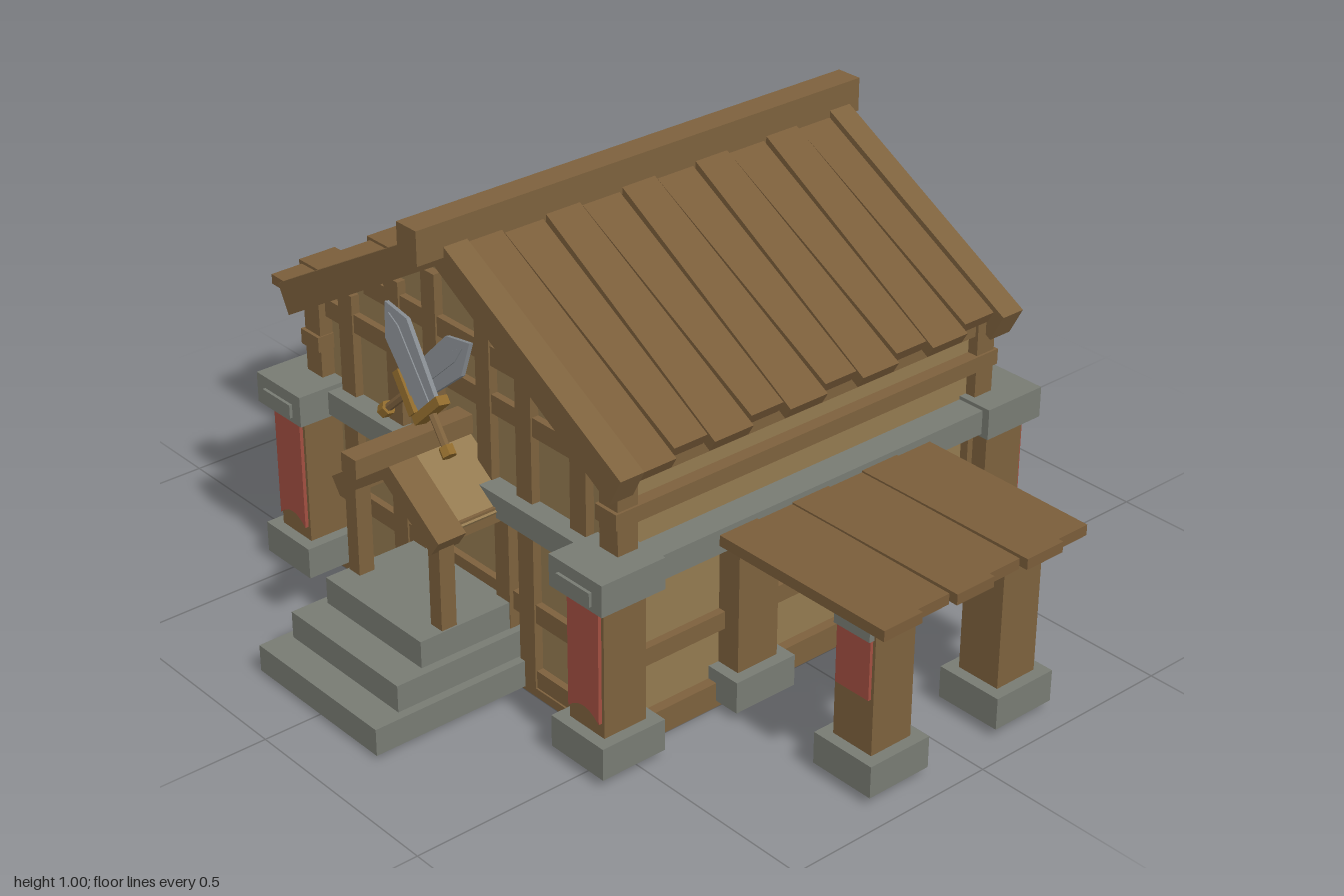
import * as THREE from 'three';

const mat = (color) => new THREE.MeshStandardMaterial({ color, flatShading: true });
const WOOD = mat(0x7d613d), PLANK = mat(0x7a5d3a), WALL = mat(0x937a50), STONE = mat(0x787b73);
const RED = mat(0xa24f41), STEEL = mat(0x858a8f), GOLD = mat(0x8f6a2c);

// Adds a mesh to a parent under a plain name
function add(parent, name, geo, material) {
  const m = new THREE.Mesh(geo, material);
  m.name = name;
  parent.add(m);
  return m;
}

// Box given by its limits on each axis
function box(parent, name, material, x0, x1, y0, y1, z0, z1) {
  const m = add(parent, name, new THREE.BoxGeometry(Math.abs(x1 - x0), y1 - y0, z1 - z0), material);
  m.position.set((x0 + x1) / 2, (y0 + y1) / 2, (z0 + z1) / 2);
  return m;
}

// Flat outline in x-y, given thickness from z0 to z1
function slab(parent, name, material, pts, z0, z1) {
  const shape = new THREE.Shape(pts.map(([x, y]) => new THREE.Vector2(x, y)));
  const m = add(parent, name, new THREE.ExtrudeGeometry(shape, { depth: z1 - z0, bevelEnabled: false }), material);
  m.position.z = z0;
  return m;
}

// Inverted V: outer apex, outer end, inner end, inner apex
function chevron(parent, name, material, top, [ox, oy], [ix, iy], low, z0, z1) {
  return slab(parent, name, material,
    [[0, top], [-ox, oy], [-ix, iy], [0, low], [ix, iy], [ox, oy]], z0, z1);
}

// Board along +x from 0 to length, with a different width at each end
function board(length, thick, wIn, wOut) {
  const g = new THREE.BoxGeometry(length, thick, 1).translate(length / 2, 0, 0);
  const p = g.attributes.position;
  for (let i = 0; i < p.count; i++) p.setZ(i, p.getZ(i) * (p.getX(i) > length / 2 ? wOut : wIn));
  g.computeVertexNormals();
  return g;
}

// Banner with an arched lower edge
function banner(parent, x, half, y0, y1, z, arch) {
  const s = new THREE.Shape();
  s.moveTo(x - half, y1);
  s.lineTo(x - half, y0);
  s.quadraticCurveTo(x, y0 + arch * 2, x + half, y0);
  s.lineTo(x + half, y1);
  const m = add(parent, 'banner', new THREE.ExtrudeGeometry(s, { depth: 0.008, bevelEnabled: false, curveSegments: 6 }), RED);
  m.position.z = z;
  box(parent, 'bannerRail', STONE, x - half - 0.003, x + half + 0.003, y1 - 0.003, y1 + 0.028, z - 0.004, z + 0.014);
}

// Wooden pillar on a stone base
function pillar(parent, x, z, top) {
  box(parent, 'pillar', WOOD, x - 0.052, x + 0.052, 0.015, top, z - 0.053, z + 0.053);
  box(parent, 'pillarBase', STONE, x - 0.078, x + 0.078, 0.02, 0.092, z - 0.079, z + 0.079);
}

function sword() {
  const g = new THREE.Group();
  g.name = 'sword';
  slab(g, 'blade', STEEL, [[-0.032, -0.06], [0.032, -0.06], [0.043, 0.115], [0, 0.175], [-0.043, 0.115]], -0.005, 0.005);
  slab(g, 'bladeRidge', STEEL, [[-0.012, -0.06], [0.012, -0.06], [0.012, 0.115], [0, 0.15], [-0.012, 0.115]], -0.008, 0.008);
  box(g, 'guard', GOLD, -0.048, 0.048, -0.075, -0.055, -0.014, 0.014);
  const grip = add(g, 'grip', new THREE.CylinderGeometry(0.009, 0.009, 0.08, 6), WOOD);
  grip.position.y = -0.11;
  const pommel = add(g, 'pommel', new THREE.CylinderGeometry(0.016, 0.016, 0.022, 6), GOLD);
  pommel.position.y = -0.155;
  return g;
}

// One gable end with framing, entrance, steps and swords
function buildFacade() {
  const g = new THREE.Group();
  g.name = 'facade';
  const z0 = 0.47, z1 = 0.5;
  // Timber frame
  for (const [y0, y1, half] of [[0.01, 0.06, 0.5], [0.174, 0.217, 0.48], [0.6, 0.642, 0.5], [0.705, 0.748, 0.31]])
    box(g, 'rail', WOOD, -half, half, y0, y1, z0, z1 - 0.004);
  for (const s of [-1, 1]) {
    for (const x of [0.21, 0.375]) box(g, 'stud', WOOD, s * x - 0.024, s * x + 0.024, 0.02, 0.91 - 0.566 * (x + 0.024), z0, z1);
    box(g, 'innerStud', WOOD, s * 0.085 - 0.022, s * 0.085 + 0.022, 0.44, 0.84, z0, z1);
    box(g, 'doorPost', WOOD, s * 0.14 - 0.022, s * 0.14 + 0.022, 0.1, 0.42, z0, z1 + 0.005);
    box(g, 'cornerPost', WOOD, s * 0.48 - 0.027, s * 0.48 + 0.027, 0.4, 0.63, 0.462, 0.512);
    box(g, 'lowerCornerPost', WOOD, s * 0.475 - 0.027, s * 0.475 + 0.027, 0.02, 0.41, 0.455, 0.505);
    // Canopy posts and braces
    box(g, 'canopyPost', WOOD, s * 0.138 - 0.018, s * 0.138 + 0.018, 0.185, 0.415, 0.635, 0.672);
    box(g, 'canopyBeam', WOOD, s * 0.138 - 0.018, s * 0.138 + 0.018, 0.385, 0.42, 0.49, 0.66);
  }
  box(g, 'stoneBelt', STONE, -0.55, 0.55, 0.397, 0.45, 0.47, 0.53);
  chevron(g, 'bargeBoard', WOOD, 0.965, [0.553, 0.655], [0.52, 0.592], 0.895, 0.485, 0.543);
  // Entrance canopy
  chevron(g, 'canopyRoof', WALL, 0.522, [0.16, 0.412], [0.145, 0.388], 0.485, 0.48, 0.63);
  chevron(g, 'canopyBarge', WOOD, 0.53, [0.177, 0.407], [0.152, 0.372], 0.475, 0.62, 0.688);
  box(g, 'canopyRidge', WOOD, -0.024, 0.024, 0.515, 0.557, 0.47, 0.767);
  // Steps
  [[0.2, 0.873], [0.18, 0.803], [0.16, 0.728]].forEach(([half, z], i) =>
    box(g, 'step', STONE, -half, half, 0.008 + i * 0.061, 0.069 + i * 0.061, 0.46, z));
  // Crossed swords leaning on the gable
  const swords = new THREE.Group();
  swords.name = 'crossedSwords';
  for (const s of [-1, 1]) {
    const w = sword();
    w.rotation.z = s * 0.8;
    w.position.z = s * 0.008;
    swords.add(w);
  }
  swords.position.set(0, 0.662, 0.583);
  swords.rotation.x = -0.17;
  g.add(swords);
  // Corner pillars with caps and banners
  for (const s of [-1, 1]) {
    pillar(g, s * 0.488, 0.523, 0.42);
    box(g, 'pillarCap', STONE, s * 0.488 - 0.078, s * 0.488 + 0.078, 0.39, 0.46, 0.444, 0.602);
    banner(g, s * 0.488, 0.046, 0.125, 0.405, 0.577, 0.022);
    g.children[g.children.length - 1].position.z = 0.6;
  }
  return g;
}

// One long side with belt, rails, roof slope and lean-to (built on +x)
function buildSide() {
  const g = new THREE.Group();
  g.name = 'sideWing';
  for (const [name, m, y0, y1, half, x] of [
    ['sill', WOOD, 0.015, 0.062, 0.48, 0.505], ['sideRail', WOOD, 0.178, 0.218, 0.48, 0.5],
    ['stoneBelt', STONE, 0.397, 0.452, 0.5, 0.548], ['sideBeam', WOOD, 0.522, 0.557, 0.52, 0.512],
    ['wallPlate', WOOD, 0.6, 0.638, 0.49, 0.5]])
    box(g, name, m, 0.45, x, y0, y1, -half, half);
  // Roof slope of tapered boards over a thin deck
  const slope = new THREE.Group();
  slope.name = 'roofSlope';
  slope.position.set(0, 0.955, 0);
  slope.rotation.z = -0.515;
  g.add(slope);
  box(slope, 'roofDeck', WOOD, 0, 0.59, -0.052, -0.032, -0.49, 0.49);
  for (let i = 0; i < 10; i++) {
    const odd = i % 2;
    const b = add(slope, 'roofBoard', board(odd ? 0.622 : 0.604, 0.03, odd ? 0.086 : 0.098, odd ? 0.1 : 0.084), PLANK);
    b.position.set(0, odd ? -0.012 : -0.02, (i - 4.5) * 0.0985);
    b.rotation.z = odd ? -0.012 : 0.008;
  }
  // Lean-to roof of tapered boards
  for (let i = 0; i < 6; i++) {
    const odd = i % 2;
    const b = add(g, 'porchBoard', board(odd ? 0.475 : 0.458, 0.024, 0.098, odd ? 0.1 : 0.084), PLANK);
    b.position.set(0.522, odd ? 0.428 : 0.424, (i - 2.5) * 0.096);
  }
  for (const x of [0.56, 0.865]) box(g, 'porchBeam', WOOD, x - 0.035, x + 0.035, 0.4, 0.416, -0.27, 0.27);
  // Lean-to pillars, banners on the outer pair
  for (const s of [-1, 1]) {
    pillar(g, 0.488, s * 0.175, 0.41);
    pillar(g, 0.865, s * 0.175, 0.41);
    const cloth = new THREE.Group();
    cloth.name = 'pillarBanner';
    banner(cloth, s * 0.865, 0.045, 0.218, 0.355, 0.227, 0);
    if (s < 0) cloth.rotation.y = Math.PI;
    g.add(cloth);
  }
  return g;
}

export function createModel() {
  const model = new THREE.Group();
  model.name = 'timberHall';

  // Floor and gabled body
  box(model, 'floor', WOOD, -0.5, 0.5, 0, 0.02, -0.5, 0.5);
  slab(model, 'walls', WALL, [[-0.482, 0.015], [0.482, 0.015], [0.482, 0.63], [0, 0.9], [-0.482, 0.63]], -0.48, 0.48);

  // Two gable ends and two long sides
  for (const turn of [0, Math.PI]) {
    for (const part of [buildFacade(), buildSide()]) {
      part.rotation.y = turn;
      model.add(part);
    }
  }

  // Ridge beam
  box(model, 'ridgeBeam', WOOD, -0.031, 0.031, 0.925, 1.0, -0.57, 0.607);
  return model;
}
